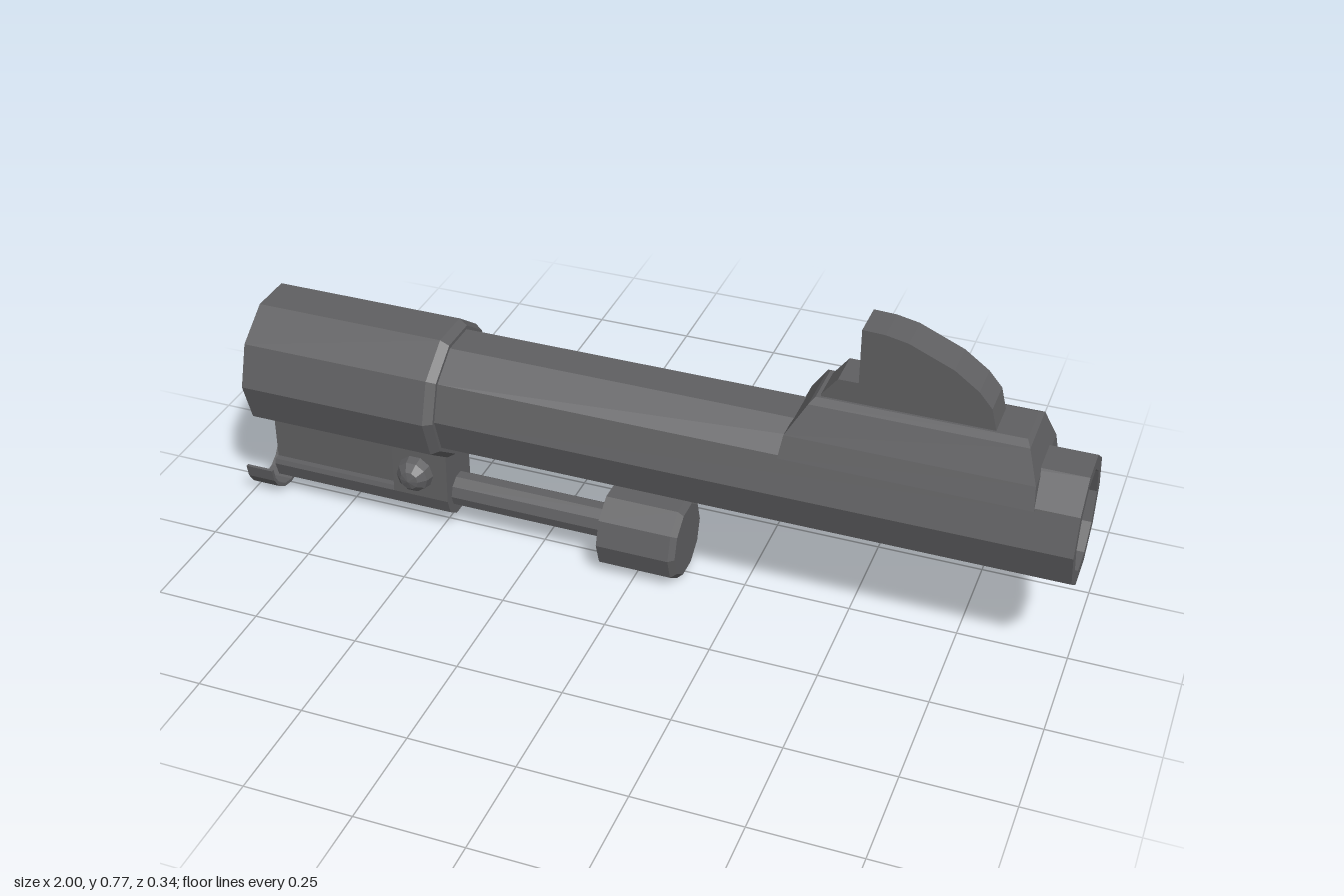
import * as THREE from 'three';

const gunmetal = new THREE.MeshStandardMaterial({ color: 0x5f5f61, flatShading: true, side: THREE.DoubleSide });
gunmetal.name = 'gunmetal';

function add(group, name, geometry, x = 0, y = 0, z = 0) {
  const mesh = new THREE.Mesh(geometry, gunmetal);
  mesh.name = name;
  mesh.position.set(x, y, z);
  group.add(mesh);
  return mesh;
}

// Faceted solid turned about the x axis, profile given as [x, radius]
function turned(profile, sides) {
  const points = profile.map(([x, r]) => new THREE.Vector2(r, x));
  return new THREE.LatheGeometry(points, sides).rotateZ(-Math.PI / 2);
}

// Cross-section in [z, y] extruded along x from x0 to x1
function alongX(section, x0, x1) {
  const shape = new THREE.Shape(section.map(([z, y]) => new THREE.Vector2(z, y)));
  return new THREE.ExtrudeGeometry(shape, { depth: x1 - x0, bevelEnabled: false })
    .rotateY(Math.PI / 2).translate(x0, 0, 0);
}

// Points on an arc about (0, cy), angles in degrees
function arc(cy, r, from, to, steps) {
  return Array.from({ length: steps + 1 }, (_, i) => {
    const a = THREE.MathUtils.degToRad(from + (to - from) * i / steps);
    return [r * Math.cos(a), cy + r * Math.sin(a)];
  });
}

// Stack of rectangles [y, x0, x1, halfZ] joined into a closed solid
function rectLoft(rings) {
  const pos = [], idx = [];
  for (const [y, x0, x1, w] of rings) pos.push(x0, y, w, x1, y, w, x1, y, -w, x0, y, -w);
  for (let r = 0; r < rings.length - 1; r++) {
    for (let i = 0; i < 4; i++) {
      const a = r * 4 + i, b = r * 4 + (i + 1) % 4;
      idx.push(a, b, b + 4, a, b + 4, a + 4);
    }
  }
  const t = (rings.length - 1) * 4;
  idx.push(t, t + 1, t + 2, t, t + 2, t + 3, 0, 2, 1, 0, 3, 2);
  const g = new THREE.BufferGeometry();
  g.setAttribute('position', new THREE.Float32BufferAttribute(pos, 3));
  g.setIndex(idx);
  const flat = g.toNonIndexed();
  flat.computeVertexNormals();
  return flat;
}

export function createModel() {
  const model = new THREE.Group();
  model.name = 'barrelAssembly';

  // Barrel with hollow rear collar and muzzle bore
  add(model, 'barrel', turned([
    [-0.5, 0], [-0.5, 0.162], [-0.93, 0.162], [-0.93, 0.168], [-0.47, 0.168],
    [-0.45, 0.155], [-0.45, 0.146], [1, 0.146], [1, 0.114], [0.45, 0.114], [0.45, 0],
  ], 10), 0, 0.38, 0);

  // Front sight: ramp and curved blade
  const sight = new THREE.Group();
  sight.name = 'frontSight';
  model.add(sight);
  add(sight, 'sightRamp', rectLoft([
    [0.46, 0.35, 0.905, 0.122], [0.51, 0.357, 0.9, 0.104],
    [0.58, 0.4, 0.875, 0.074], [0.59, 0.41, 0.865, 0.055],
  ]));
  const blade = new THREE.Shape([
    [0.42, 0.58], [0.8, 0.58], [0.785, 0.64], [0.755, 0.675], [0.7, 0.715], [0.6, 0.758],
    [0.55, 0.768], [0.5, 0.77], [0.5, 0.64], [0.455, 0.64], [0.42, 0.595],
  ].map(([x, y]) => new THREE.Vector2(x, y)));
  add(sight, 'sightBlade', new THREE.ExtrudeGeometry(blade, { depth: 0.09, bevelEnabled: false }), 0, 0, -0.041);

  // Underlug: thick front block, slimmer web behind, rounded lower rail
  const lug = new THREE.Group();
  lug.name = 'underlug';
  model.add(lug);
  const rail = arc(0.1, 0.064, 180, 360, 5);
  add(lug, 'lugBlock', alongX([...rail, [0.061, 0.235], [-0.061, 0.235]], -0.61, -0.47));
  add(lug, 'lugRail', alongX([...rail, [0.06, 0.112], [-0.06, 0.112]], -0.93, -0.61));
  add(lug, 'lugWeb', alongX([[-0.045, 0.1], [0.045, 0.1], [0.045, 0.224], [-0.045, 0.224]], -0.93, -0.61));

  // Half-round cradle at the rear
  const cradle = [...arc(0.088, 0.083, 180, 360, 8), ...arc(0.088, 0.075, 360, 180, 8)];
  add(lug, 'rearCradle', alongX(cradle, -1, -0.93));

  // Rounded ends of the cross pin
  for (const side of [-1, 1]) {
    const end = add(lug, 'pinEnd', new THREE.SphereGeometry(0.046, 10, 6), -0.55, 0.165, side * 0.06);
    end.rotation.x = side * Math.PI / 2;
  }

  // Ejector rod and its knob
  add(model, 'ejectorRod', turned([[-0.48, 0], [-0.48, 0.042], [-0.07, 0.042], [-0.07, 0]], 10), 0, 0.1, 0);
  add(model, 'rodKnob', turned([
    [-0.08, 0], [-0.08, 0.099], [0.095, 0.099], [0.108, 0.087], [0.108, 0],
  ], 10), 0, 0.098, 0);

  return model;
}
